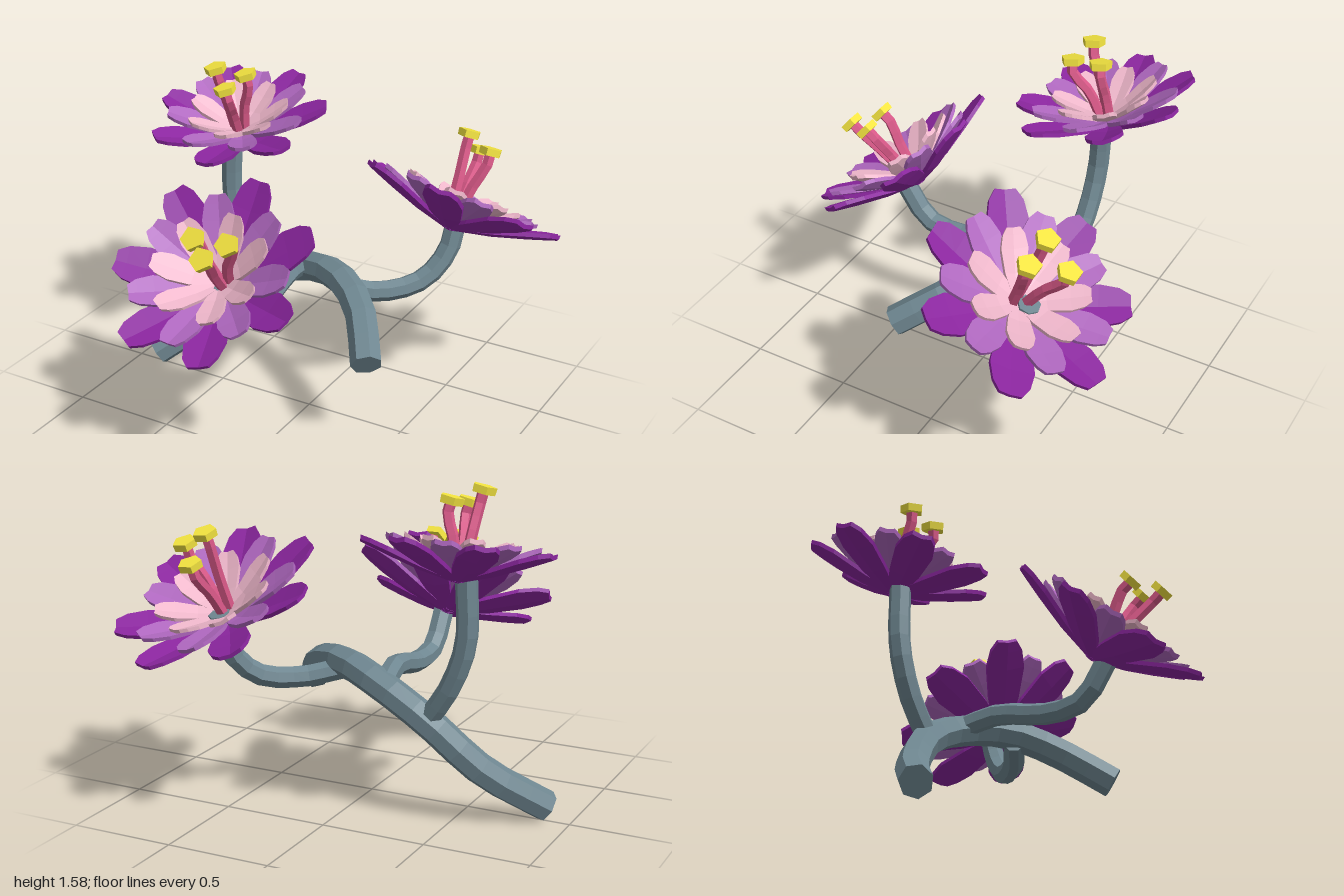
import * as THREE from 'three';

const V = (x, y, z) => new THREE.Vector3(x, y, z);
const UP = V(0, 1, 0);
const mat = (color) => new THREE.MeshStandardMaterial({ color, flatShading: true });
const bark = mat(0x6f8791), pinkStalk = mat(0xdc5a8a), yellow = mat(0xf3e440);

// Seeded value in -1..1 for slight petal variation
let seed = 7;
const jitter = () => {
  seed = (seed * 16807) % 2147483647;
  return (seed / 2147483647) * 2 - 1;
};

// Faceted tube along a smooth curve, with closed ends
function branch(name, points, radius, sides, segments, material) {
  const g = new THREE.Group();
  g.name = name;
  const curve = new THREE.CatmullRomCurve3(points);
  const tube = new THREE.Mesh(new THREE.TubeGeometry(curve, segments, radius, sides), material);
  tube.name = name + 'Tube';
  g.add(tube);
  const frames = curve.computeFrenetFrames(segments, false);
  for (const end of [0, 1]) {
    const i = end * segments;
    const out = frames.tangents[i].clone().multiplyScalar(end ? 1 : -1);
    const cap = new THREE.Mesh(new THREE.CircleGeometry(radius, sides), material);
    cap.name = name + 'End';
    const x = frames.normals[i].clone().negate();
    cap.quaternion.setFromRotationMatrix(new THREE.Matrix4().makeBasis(x, out.clone().cross(x), out));
    cap.position.copy(curve.getPoint(end));
    g.add(cap);
  }
  return g;
}

// Blunt creased petal growing along +x, curling up in y, with a little thickness
function petalGeometry(length, halfWidth, rise) {
  const rows = [[0, 0.3], [0.4, 0.8], [0.72, 1], [0.9, 0.82], [1, 0.5]];
  const thick = 0.02, pos = [], idx = [];
  for (const [t, w] of rows) {
    for (const layer of [0, -thick]) {
      for (const s of [-1, 0, 1]) {
        const y = rise * Math.pow(t, 1.25) + layer + Math.abs(s) * w * halfWidth * 0.2;
        pos.push(t * length, y, s * w * halfWidth);
      }
    }
  }
  const quad = (a, b, c, d) => idx.push(a, b, c, a, c, d);
  for (let i = 0; i < rows.length - 1; i++) {
    const a = i * 6, b = a + 6;
    for (const s of [0, 1]) {
      quad(a + s, a + s + 1, b + s + 1, b + s);
      quad(a + 3 + s, b + 3 + s, b + 4 + s, a + 4 + s);
    }
    quad(a, b, b + 3, a + 3);
    quad(a + 2, a + 5, b + 5, b + 2);
  }
  const e = (rows.length - 1) * 6;
  for (const s of [0, 1]) {
    quad(e + s, e + s + 1, e + s + 4, e + s + 3);
    quad(s, s + 3, s + 4, s + 1);
  }
  const geo = new THREE.BufferGeometry();
  geo.setAttribute('position', new THREE.Float32BufferAttribute(pos, 3));
  geo.setIndex(idx);
  geo.computeVertexNormals();
  return geo;
}

// Petal rings: name, colour, length, half width, rise factor, base height, turn
const RINGS = [
  ['outerPetal', mat(0x8c26a0), 1, 0.205, 1, 0, 0],
  ['middlePetal', mat(0xb068c0), 0.8, 0.165, 1.0, 0.02, 0.5],
  ['innerPetal', mat(0xf0b8cc), 0.58, 0.132, 1.0, 0.035, 0.05],
];

function flower({ name, center, normal, radius, rise, turn, antherAxis, tips }) {
  const g = new THREE.Group();
  g.name = name;
  const n = normal.clone().normalize();
  const axis = antherAxis.clone().normalize();

  const bloom = new THREE.Group();
  bloom.name = 'petals';
  bloom.position.copy(center);
  bloom.quaternion.setFromUnitVectors(UP, n);
  for (const [ring, material, len, width, lift, base, shift] of RINGS) {
    for (let i = 0; i < 7; i++) {
      const geo = petalGeometry(radius * len * (1 + jitter() * 0.02), radius * width, rise * lift * (1 + jitter() * 0.06));
      const petal = new THREE.Mesh(geo, material);
      petal.name = ring;
      petal.position.y = base;
      petal.rotation.y = turn + ((i + shift) * Math.PI * 2) / 7 + jitter() * 0.04;
      bloom.add(petal);
    }
  }
  g.add(bloom);

  // Stamens rise from the heart of the bloom and lean over at their tips
  for (const tip of tips) {
    const d = tip.clone().sub(center);
    const h = d.dot(n);
    const side = d.clone().addScaledVector(n, -h);
    const at = (along, out) => center.clone().addScaledVector(n, along * h).addScaledVector(side, out);
    const path = [at(0.08, 0.3), at(0.5, 0.58), tip.clone().addScaledVector(axis, -0.06), tip];
    g.add(branch('stamen', path, 0.026, 5, 6, pinkStalk));
    const anther = new THREE.Mesh(new THREE.CylinderGeometry(0.056, 0.054, 0.034, 5), yellow);
    anther.name = 'anther';
    anther.position.copy(tip);
    anther.quaternion.setFromUnitVectors(UP, axis);
    g.add(anther);
  }
  return g;
}

export function createModel() {
  const model = new THREE.Group();
  model.name = 'floweringBranch';

  // Main bough and three side stems
  model.add(branch('mainBranch', [
    V(-0.88, 0.065, 0.02), V(-0.64, 0.26, -0.17), V(-0.4, 0.49, -0.26), V(-0.16, 0.62, -0.24),
    V(0.08, 0.67, -0.13), V(0.28, 0.61, 0.02), V(0.43, 0.465, 0.23),
  ], 0.074, 7, 14, bark));
  model.add(branch('rightStem', [
    V(-0.41, 0.5, -0.26), V(-0.52, 0.66, -0.28), V(-0.6, 0.88, -0.29), V(-0.6, 1.2, -0.3),
  ], 0.051, 7, 8, bark));
  model.add(branch('frontStem', [
    V(-0.18, 0.62, -0.24), V(-0.15, 0.66, -0.06), V(-0.14, 0.61, 0.2), V(-0.14, 0.63, 0.38), V(-0.14, 0.83, 0.53),
  ], 0.051, 7, 10, bark));
  model.add(branch('backStem', [
    V(0.1, 0.63, -0.12), V(0.26, 0.595, -0.22), V(0.41, 0.63, -0.37), V(0.49, 0.76, -0.47), V(0.51, 0.94, -0.52),
  ], 0.051, 7, 10, bark));

  model.add(flower({
    name: 'rightFlower', center: V(-0.58, 1.18, -0.35), normal: V(0, 0.97, 0.24),
    radius: 0.425, rise: 0.135, turn: 1.3, antherAxis: V(-0.2, 0.95, 0.15),
    tips: [V(-0.64, 1.55, -0.22), V(-0.53, 1.51, -0.31), V(-0.55, 1.48, -0.16)],
  }));
  model.add(flower({
    name: 'frontFlower', center: V(-0.18, 0.81, 0.465), normal: V(0, 0.785, 0.62),
    radius: 0.475, rise: 0.165, turn: 1.48, antherAxis: V(0, 0.62, 0.78),
    tips: [V(-0.19, 1.13, 0.67), V(-0.03, 1.13, 0.65), V(-0.08, 1.1, 0.77)],
  }));
  model.add(flower({
    name: 'backFlower', center: V(0.505, 0.9, -0.45), normal: V(0.16, 0.86, -0.47),
    radius: 0.485, rise: 0.14, turn: 1.28, antherAxis: V(0.1, 0.92, -0.33),
    tips: [V(0.52, 1.32, -0.6), V(0.64, 1.26, -0.58), V(0.53, 1.2, -0.71)],
  }));
  return model;
}
